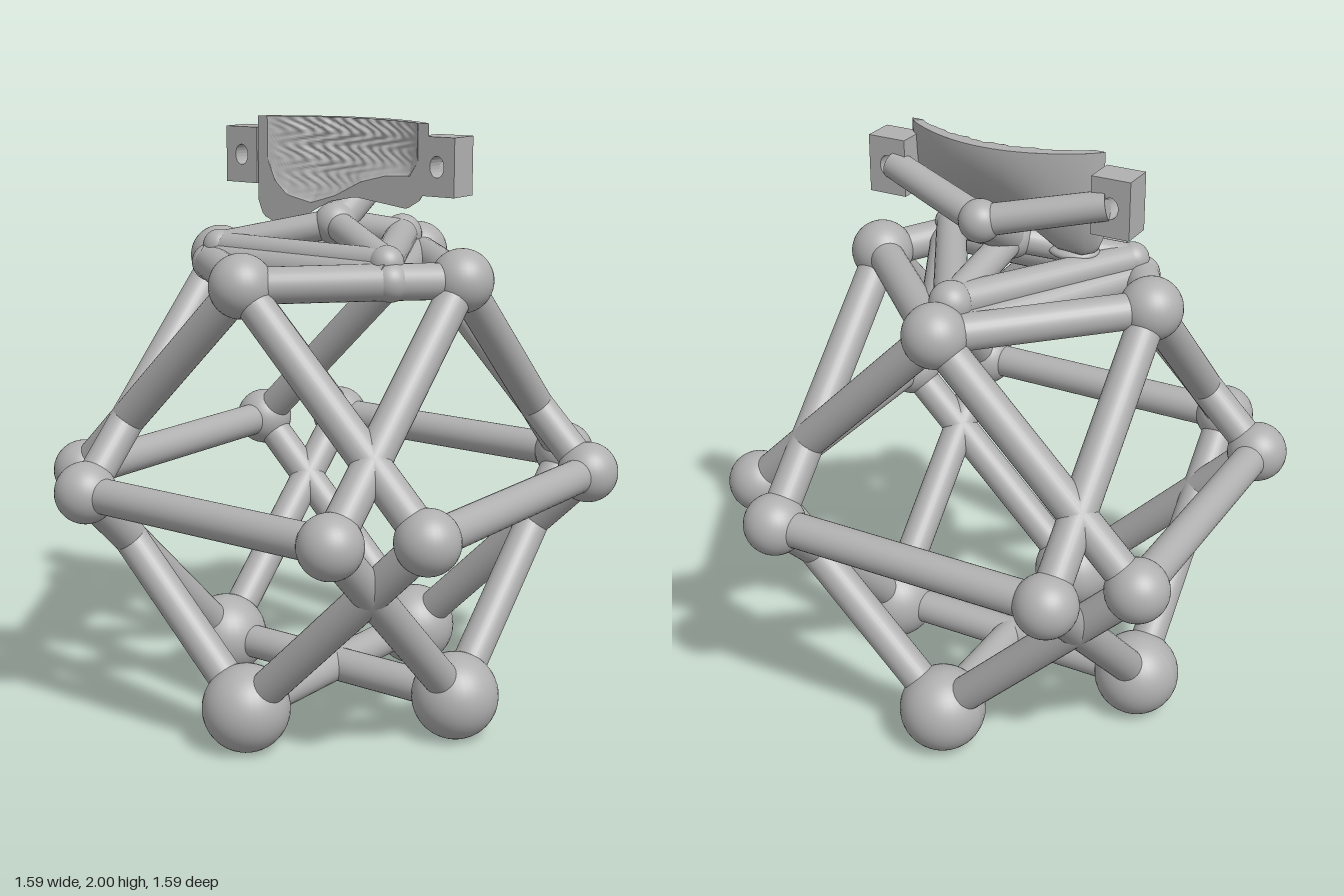
import * as THREE from 'three';
import { ParametricGeometry } from 'three/addons/geometries/ParametricGeometry.js';

const V = (x, y, z) => new THREE.Vector3(x, y, z);

export function createModel() {
  const model = new THREE.Group();
  model.name = 'maskStand';
  const grey = new THREE.MeshStandardMaterial({ color: 0xb0b0b0, side: THREE.DoubleSide });
  grey.name = 'plain grey';

  const add = (name, geometry) => {
    const mesh = new THREE.Mesh(geometry, grey);
    mesh.name = name;
    model.add(mesh);
    return mesh;
  };
  const ball = (name, p, r) => {
    const mesh = add(name, new THREE.SphereGeometry(r, 32, 24));
    mesh.position.copy(p);
    return mesh;
  };
  const rod = (name, a, b, r = 0.058, r2 = r) => {
    const d = b.clone().sub(a);
    const mesh = add(name, new THREE.CylinderGeometry(r2, r, d.length(), 28));
    mesh.position.copy(a).addScaledVector(d, 0.5);
    mesh.quaternion.setFromUnitVectors(V(0, 1, 0), d.normalize());
  };

  // Open strut frame
  const R = 0.49, W = 0.695, TOP = 1.52, MID = 0.827, LOW = 0.137;
  const corners = [[1, 0], [-1, 0], [0, 1], [0, -1]];
  for (const [cx, cz] of corners) {
    const top = V(cx * R, TOP, cz * R), low = V(cx * R, LOW, cz * R);
    ball('topBall', top, 0.102);
    // Feet are flattened where they meet the ground
    const foot = ball('footBall', low, 0.145);
    const pos = foot.geometry.attributes.position;
    for (let i = 0; i < pos.count; i++) pos.setY(i, Math.max(pos.getY(i), -LOW));
    foot.geometry.computeVertexNormals();
    const ends = [-1, 1].map(s => cx ? V(cx * R, MID, s * W) : V(s * W, MID, cz * R));
    for (const p of ends) {
      ball('middleBall', p, 0.102);
      rod('upperStrut', top, p);
      rod('lowerStrut', low, p);
    }
  }
  for (const s of [-1, 1]) {
    rod('middleStrut', V(-R, MID, s * W), V(R, MID, s * W));
    rod('middleStrut', V(s * W, MID, -R), V(s * W, MID, R));
  }
  rod('footStrut', V(-R, LOW, 0), V(R, LOW, 0));
  rod('footStrut', V(0, LOW, -R), V(0, LOW, R));

  // Top ring and the cradle of rods that carries the neck
  const neck = V(0, 1.665, 0), rear = V(0, 1.59, -0.39), bend = V(0, 1.79, -0.205);
  ball('neckBall', neck, 0.07);
  ball('rearCradleBall', rear, 0.068);
  ball('bendBall', bend, 0.068);
  rod('neckRod', neck, bend, 0.058);
  rod('rearCradleRod', rear, neck, 0.05);
  for (const s of [-1, 1]) {
    const side = V(s * R, TOP, 0), knee = V(s * 0.36, 1.53, 0.205), pad = V(s * 0.335, 1.585, 0.19);
    rod('ringRod', V(0, TOP, -R), side);
    rod('ringRod', V(0, TOP, R), knee);
    rod('ringRod', knee, side);
    ball('kneeBall', knee, 0.063);
    ball('padBall', pad, 0.055);
    rod('cradleSideRod', rear, pad, 0.055, 0.05);
    rod('cradleLowerRod', V(0, TOP, -R), knee, 0.055);
    rod('cradleNeckRod', pad, neck, 0.048);
    rod('maskArm', bend, V(s * 0.375, 1.87, -0.09), 0.05, 0.047);

    // Mounting block with a bolt hole
    const shape = new THREE.Shape([[-0.065, -0.093], [0.065, -0.093], [0.065, 0.093], [-0.065, 0.093]]
      .map(p => new THREE.Vector2(...p)));
    shape.holes.push(new THREE.Path().absellipse(0, 0, 0.026, 0.034, 0, Math.PI * 2, true));
    const block = add('mountingBlock',
      new THREE.ExtrudeGeometry(shape, { depth: 0.108, bevelEnabled: false, curveSegments: 10 }));
    block.position.set(s * 0.391, 1.868, -0.108);
  }
  rod('frontCradleRod', V(-0.36, 1.54, 0.205), V(0.36, 1.54, 0.205), 0.06);
  rod('frontPadRod', V(-0.335, 1.585, 0.19), V(0.335, 1.585, 0.19), 0.045);

  // Small dished scrap at the lower edge of the mask
  const scrap = ball('lowerScrap', V(-0.19, 1.635, 0.06), 1);
  scrap.scale.set(0.085, 0.025, 0.07);

  // Hollow mask shell, cut off flat at the top and at the front rim
  const profile = pts => x => {
    let i = 1;
    while (i < pts.length - 1 && pts[i][0] < x) i++;
    const [a, b] = [pts[i - 1], pts[i]];
    return THREE.MathUtils.mapLinear(x, a[0], b[0], a[1], b[1]);
  };
  const outerEdge = profile([[-0.32, 1.72], [-0.3, 1.67], [-0.25, 1.65], [-0.16, 1.655], [-0.08, 1.705],
    [-0.02, 1.735], [0.08, 1.755], [0.2, 1.74], [0.28, 1.73], [0.33, 1.76], [0.36, 1.81]]);
  const innerEdge = profile([[-0.28, 1.86], [-0.25, 1.79], [-0.2, 1.745], [-0.1, 1.725],
    [0, 1.755], [0.1, 1.805], [0.2, 1.83], [0.29, 1.835], [0.32, 1.88]]);
  const sheet = (x0, x1, edge, depth, rough) => (u, v, t) => {
    const x = THREE.MathUtils.lerp(x0, x1, u), y = THREE.MathUtils.lerp(edge(x), 2, v);
    const bulge = Math.sin(Math.PI * u) ** 0.75 * Math.sin(v * Math.PI / 2) ** 0.7;
    const bumps = rough * Math.sin(x * 95 + 3 * Math.sin(y * 70)) * Math.sin(y * 110 + x * 40);
    return t.set(x, y, -(depth + bumps) * bulge);
  };
  const outer = sheet(-0.32, 0.36, outerEdge, 0.138, 0);
  const inner = sheet(-0.28, 0.32, innerEdge, 0.09, 0.008);
  const border = k => k < 1 ? [0, 1 - k] : k < 2 ? [k - 1, 0] : k < 3 ? [1, k - 2] : [4 - k, 1];
  const q = V(0, 0, 0);
  const rim = (u, v, t) => {
    const [a, b] = border(u * 4);
    outer(a, b, t);
    return t.lerp(inner(a, b, q), v);
  };
  add('maskBack', new ParametricGeometry(outer, 48, 24));
  add('maskHollow', new ParametricGeometry(inner, 64, 40));
  add('maskRim', new ParametricGeometry(rim, 160, 1));

  return model;
}
